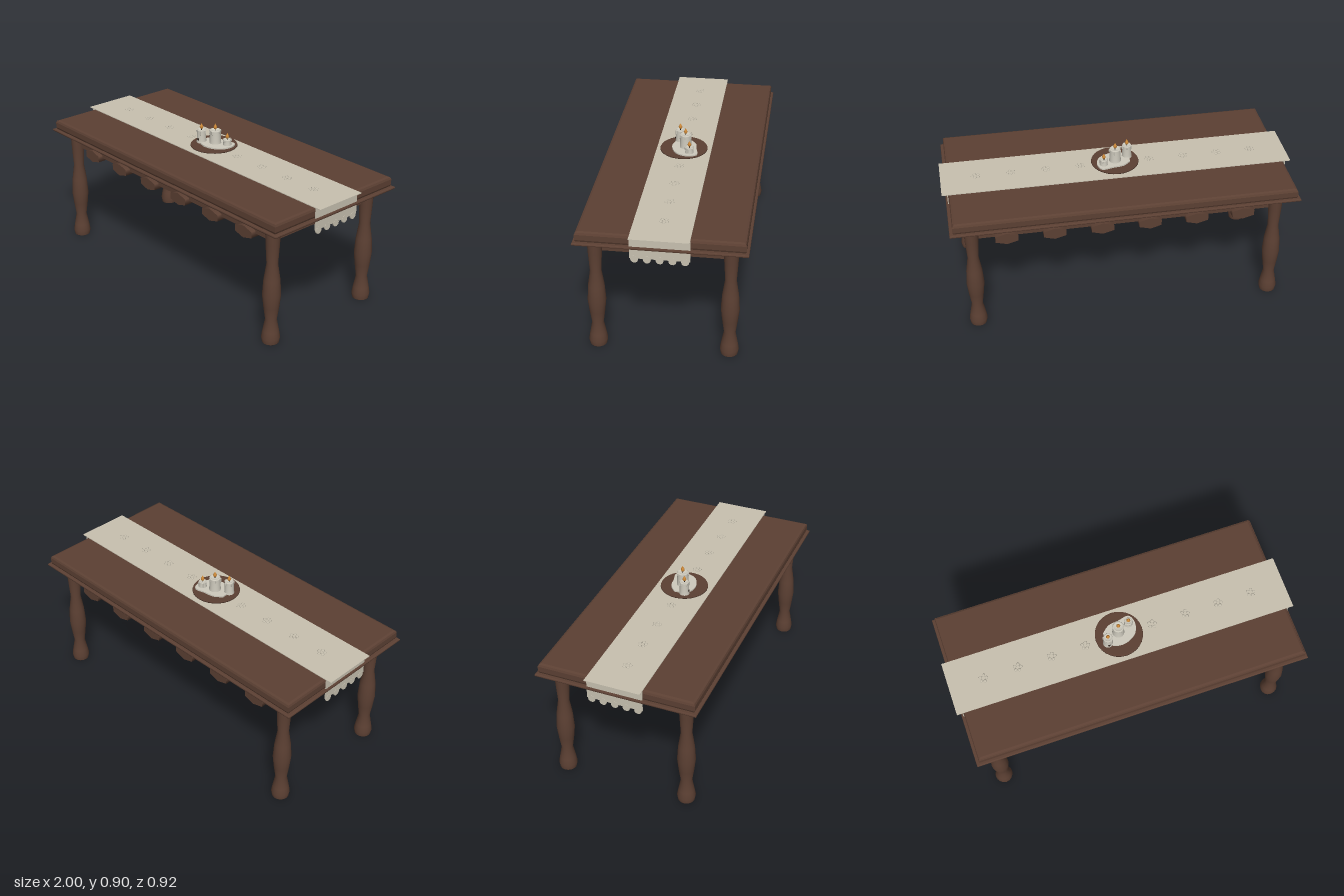
import * as THREE from 'three';

const mat = (name, color, extra = {}) => {
  const m = new THREE.MeshStandardMaterial({ color, ...extra });
  m.name = name;
  return m;
};

export function createModel() {
  const wood = mat('brown wood', 0x5c4033);
  const cloth = mat('beige linen', 0xc8c1b0, { side: THREE.DoubleSide });
  const wax = mat('pale wax', 0xcfcbbe);
  const flameMat = mat('flame orange', 0xd08a38);
  const dark = mat('burnt wick', 0x2a1f1a);

  const table = new THREE.Group();
  table.name = 'diningTable';

  const add = (parent, name, geo, material, x = 0, y = 0, z = 0) => {
    const mesh = new THREE.Mesh(geo, material);
    mesh.name = name;
    mesh.position.set(x, y, z);
    parent.add(mesh);
    return mesh;
  };
  const lathe = (points, sides) =>
    new THREE.LatheGeometry(points.map(([r, y]) => new THREE.Vector2(r, y)), sides);

  // Rectangular board with bevelled edges, lying flat between y0 and y1
  const board = (hx, hz, y0, y1, bevel, segments) => {
    const a = hx - bevel, b = hz - bevel;
    const shape = new THREE.Shape([[-a, -b], [a, -b], [a, b], [-a, b]].map(p => new THREE.Vector2(...p)));
    const geo = new THREE.ExtrudeGeometry(shape, {
      depth: y1 - y0 - 2 * bevel, bevelSize: bevel, bevelThickness: bevel, bevelSegments: segments,
    });
    return geo.rotateX(-Math.PI / 2).translate(0, y0 + bevel, 0);
  };

  // Top, edge moulding and frame
  add(table, 'tableTop', board(0.962, 0.444, 0.70, 0.763, 0.016, 2), wood);
  add(table, 'edgeMoulding', board(0.98, 0.458, 0.690, 0.705, 0.006, 2), wood);
  add(table, 'apron', new THREE.BoxGeometry(1.72, 0.095, 0.72), wood, 0, 0.6455, 0);

  // Turned legs
  const legGeo = lathe([
    [0, 0], [0.047, 0], [0.047, 0.001], [0.052, 0.03], [0.045, 0.07], [0.032, 0.14],
    [0.043, 0.215], [0.051, 0.29], [0.045, 0.38], [0.031, 0.475], [0.038, 0.59], [0.042, 0.695],
  ], 16);
  for (const x of [-0.863, 0.863])
    for (const z of [-0.36, 0.36]) add(table, 'leg', legGeo, wood, x, 0, z);

  // Six-sided pendants along both long aprons
  const pendantGeo = new THREE.CylinderGeometry(0.081, 0.081, 0.06, 6).rotateX(Math.PI / 2);
  pendantGeo.scale(0.9, 0.44, 1);
  for (const x of [-0.67, -0.403, -0.135, 0.135, 0.403, 0.67])
    for (const z of [-0.36, 0.36]) add(table, 'apronPendant', pendantGeo, wood, x, 0.597, z);

  // Runner with hanging scalloped ends
  const runner = new THREE.Group();
  runner.name = 'runner';
  table.add(runner);
  add(runner, 'runnerCloth', new THREE.BoxGeometry(2, 0.004, 0.316), cloth, 0, 0.765, 0);
  const scallopGeo = new THREE.CylinderGeometry(0.021, 0.021, 0.008, 10).rotateZ(Math.PI / 2);
  for (const x of [-0.967, 0.967]) {
    add(runner, 'runnerFlap', new THREE.BoxGeometry(0.005, 0.13, 0.316), cloth, x, 0.70, 0);
    for (let i = -2; i <= 2; i++) add(runner, 'runnerScallop', scallopGeo, cloth, x, 0.631, i * 0.066);
  }

  // Small raised flowers stitched along the runner
  const petalGeo = new THREE.SphereGeometry(0.01, 8, 4).scale(1, 0.3, 1);
  for (let i = -4; i <= 4; i++) {
    if (i === 0) continue;
    for (let k = 0; k < 5; k++) {
      const a = k * Math.PI * 0.4;
      add(runner, 'stitchedPetal', petalGeo, cloth, i * 0.2 + 0.018 * Math.cos(a), 0.767, 0.018 * Math.sin(a));
    }
  }

  // Round tray
  add(table, 'tray', lathe([
    [0, 0.766], [0.10, 0.766], [0.137, 0.776], [0.135, 0.781], [0.122, 0.778], [0, 0.777],
  ], 28), wood);

  // Spilled wax under the candles
  const outline = new THREE.Shape();
  outline.setFromPoints(new THREE.SplineCurve([
    [-0.085, -0.03], [-0.075, 0.04], [-0.02, 0.068], [0.04, 0.06], [0.09, 0.025],
    [0.108, -0.035], [0.085, -0.085], [0.02, -0.075], [-0.04, -0.065], [-0.085, -0.03],
  ].map(p => new THREE.Vector2(...p))).getPoints(36));
  const pool = new THREE.ExtrudeGeometry(outline, { depth: 0.008, bevelEnabled: false });
  add(table, 'waxPool', pool.rotateX(Math.PI / 2), wax, 0, 0.787, 0);

  // Candles with hollow tops, drips, wicks and flames
  const flameGeo = lathe([[0, 0], [0.007, 0.004], [0.011, 0.013], [0.007, 0.023], [0, 0.036]], 10);
  const candle = (x, z, r, top) => {
    const g = new THREE.Group();
    g.name = 'candle';
    g.position.set(x, 0, z);
    table.add(g);
    add(g, 'candleBody', lathe([
      [r * 1.1, 0.779], [r, 0.80], [r * 0.96, top - 0.006], [r, top - 0.003], [r * 0.9, top],
      [r * 0.72, top], [r * 0.6, top - 0.005], [0, top - 0.005],
    ], 16), wax);
    for (let k = 0; k < 5; k++) {
      const a = k * 1.26 + x * 20;
      const len = 0.01 + 0.006 * (k % 3);
      add(g, 'waxDrip', new THREE.CapsuleGeometry(0.004, len, 3, 8), wax,
        r * Math.cos(a), top - 0.005 - len / 2, r * Math.sin(a));
    }
    add(g, 'wick', new THREE.CylinderGeometry(0.0025, 0.0025, 0.014, 6), dark, 0, top, 0);
    add(g, 'flame', flameGeo, flameMat, 0, top + 0.001, 0);
  };
  candle(-0.075, 0.03, 0.027, 0.858);
  candle(0, -0.01, 0.033, 0.867);
  candle(0.07, -0.04, 0.023, 0.822);

  // Dark bead on the front of the first candle
  add(table, 'candleBead', new THREE.SphereGeometry(0.008, 10, 8), dark, -0.075, 0.802, 0.054);

  return table;
}
